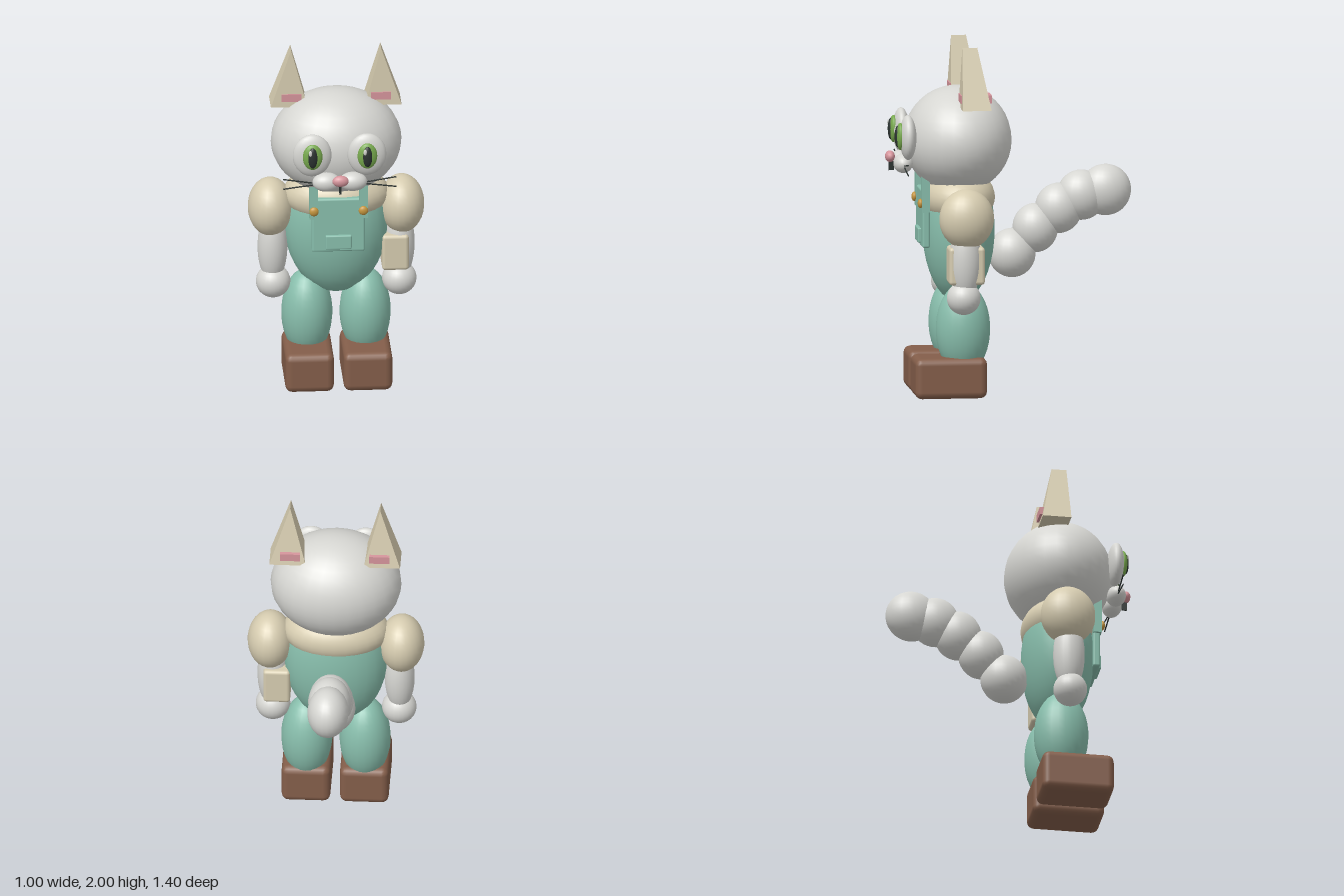
import * as THREE from 'three';
import { RoundedBoxGeometry } from 'three/addons/geometries/RoundedBoxGeometry.js';

const mat = (name, color) => {
  const m = new THREE.MeshStandardMaterial({ color });
  m.name = name;
  return m;
};

export function createModel() {
  const root = new THREE.Group();
  root.name = 'catInOveralls';
  const fur = mat('pale grey fur', 0xd6d6d2);
  const cream = mat('cream', 0xd6ccb0);
  const teal = mat('teal cloth', 0x88beac);
  const brown = mat('brown leather', 0x845e4a);
  const green = mat('green iris', 0x78aa4e);
  const pink = mat('pink', 0xd6959c);
  const gold = mat('gold', 0xc6963e);
  const dark = mat('dark', 0x2b3230);

  const add = (name, geometry, material, x = 0, y = 0, z = 0) => {
    const m = new THREE.Mesh(geometry, material);
    m.name = name;
    m.position.set(x, y, z);
    root.add(m);
    return m;
  };
  const ball = (name, material, [x, y, z], [rx, ry, rz], seg = 24) =>
    add(name, new THREE.SphereGeometry(1, seg, Math.round(seg * 0.7)).scale(rx, ry, rz), material, x, y, z);
  // Chamfered box given by its min and max corners
  const block = (name, material, a, b, bevel) =>
    add(name, new RoundedBoxGeometry(b[0] - a[0], b[1] - a[1], b[2] - a[2], 2, bevel), material,
      (a[0] + b[0]) / 2, (a[1] + b[1]) / 2, (a[2] + b[2]) / 2);
  const rod = (name, material, p, q, r) => {
    const a = new THREE.Vector3(...p), b = new THREE.Vector3(...q);
    const m = add(name, new THREE.CylinderGeometry(r, r, a.distanceTo(b), 6), material);
    m.position.copy(a).add(b).multiplyScalar(0.5);
    m.quaternion.setFromUnitVectors(new THREE.Vector3(0, 1, 0), b.sub(a).normalize());
  };

  // Wedge ear: upright front triangle, back leaning forward to a short ridge
  const earGeometry = (s) => {
    const v = [[0.163, 1.655, 0.3], [0.37, 1.655, 0.3], [0.255, 2, 0.29],
      [0.163, 1.655, 0.137], [0.37, 1.655, 0.137], [0.255, 2, 0.205]];
    const faces = [[0, 1, 2], [4, 3, 5], [1, 4, 5], [1, 5, 2], [3, 0, 2], [3, 2, 5], [0, 3, 4], [0, 4, 1]];
    const pos = [];
    for (const f of faces) {
      const order = s > 0 ? f : [f[0], f[2], f[1]];
      for (const i of order) pos.push(v[i][0] * s, v[i][1], v[i][2]);
    }
    const g = new THREE.BufferGeometry();
    g.setAttribute('position', new THREE.Float32BufferAttribute(pos, 3));
    g.computeVertexNormals();
    return g;
  };

  // Strap side profile with a sloping top, extruded across x
  const strapShape = new THREE.Shape(
    [[-0.508, 1.05], [-0.462, 1.05], [-0.462, 1.22], [-0.508, 1.25]].map((p) => new THREE.Vector2(...p)));
  const strapGeometry = new THREE.ExtrudeGeometry(strapShape, { depth: 0.048, bevelEnabled: false })
    .translate(0, 0, -0.024).rotateY(Math.PI / 2);
  // the turn maps profile -x to +z

  // Head and torso
  ball('head', fur, [0, 1.445, 0.285], [0.37, 0.305, 0.305], 28);
  ball('shirt', cream, [0, 1.12, 0.285], [0.3, 0.16, 0.21], 28);
  ball('overallsBody', teal, [0, 0.935, 0.28], [0.293, 0.42, 0.203], 28);

  // Bib and pocket
  block('bib', teal, [-0.15, 0.845, 0.46], [0.15, 1.17, 0.503], 0.012);
  block('bibPocket', teal, [-0.074, 0.865, 0.49], [0.074, 0.95, 0.52], 0.008);

  // Nose and mouth
  ball('nose', pink, [0, 1.352, 0.67], [0.047, 0.033, 0.028], 16);
  add('mouth', new THREE.BoxGeometry(0.012, 0.05, 0.03), dark, 0, 1.298, 0.663);

  for (const s of [1, -1]) {
    const side = s > 0 ? 'left' : 'right';

    // Ear with a pink inset showing at front and back
    add(side + 'Ear', earGeometry(s), cream);
    add(side + 'EarInner', new THREE.BoxGeometry(0.114, 0.045, 0.176), pink, s * 0.253, 1.712, 0.217);

    // Eye
    ball(side + 'Eye', fur, [s * 0.155, 1.48, 0.587], [0.11, 0.127, 0.047]);
    ball(side + 'Iris', green, [s * 0.155, 1.487, 0.63], [0.056, 0.077, 0.025], 20);
    ball(side + 'Pupil', dark, [s * 0.155, 1.487, 0.645], [0.028, 0.062, 0.018], 16);
    ball(side + 'EyeHighlight', fur, [s * 0.155 - 0.014, 1.52, 0.658], [0.01, 0.018, 0.006], 10);

    // Muzzle and whiskers
    ball(side + 'Muzzle', fur, [s * 0.075, 1.322, 0.605], [0.08, 0.055, 0.055]);
    rod(side + 'UpperWhisker', dark, [s * 0.12, 1.312, 0.605], [s * 0.32, 1.344, 0.605], 0.004);
    rod(side + 'LowerWhisker', dark, [s * 0.12, 1.31, 0.605], [s * 0.32, 1.284, 0.605], 0.004);

    // Strap and button
    add(side + 'Strap', strapGeometry, teal, s * 0.141);
    ball(side + 'Button', gold, [s * 0.14, 1.1, 0.514], [0.027, 0.027, 0.016], 16);

    // Arm
    ball(side + 'Sleeve', cream, [s * 0.372, 1.04, 0.28], [0.128, 0.17, 0.156]);
    ball(side + 'Forearm', fur, [s * 0.36, 0.8, 0.287], [0.085, 0.22, 0.09]);
    ball(side + 'Hand', fur, [s * 0.357, 0.587, 0.295], [0.098, 0.095, 0.096]);

    // Leg and shoe
    ball(side + 'Leg', teal, [s * 0.165, 0.385, 0.275], [0.145, 0.26, 0.155]);
    block(side + 'Shoe', brown, [s * 0.165 - 0.138, 0, 0.15], [s * 0.165 + 0.138, 0.232, 0.56], 0.04);
  }

  // Cuff block on the left forearm
  block('leftArmCuff', cream, [0.255, 0.665, 0.178], [0.407, 0.88, 0.382], 0.02);

  // Tail: a rising chain of overlapping balls
  const tail = [
    [0.79, -0.025, 0.126, 0.14, 0.135],
    [0.93, -0.157, 0.122, 0.14, 0.13],
    [1.04, -0.29, 0.121, 0.143, 0.135],
    [1.113, -0.42, 0.12, 0.143, 0.14],
    [1.14, -0.557, 0.117, 0.146, 0.146],
  ];
  tail.forEach(([y, z, rx, ry, rz], i) => ball('tailSegment' + (i + 1), fur, [0, y, z], [rx, ry, rz]));

  return root;
}
